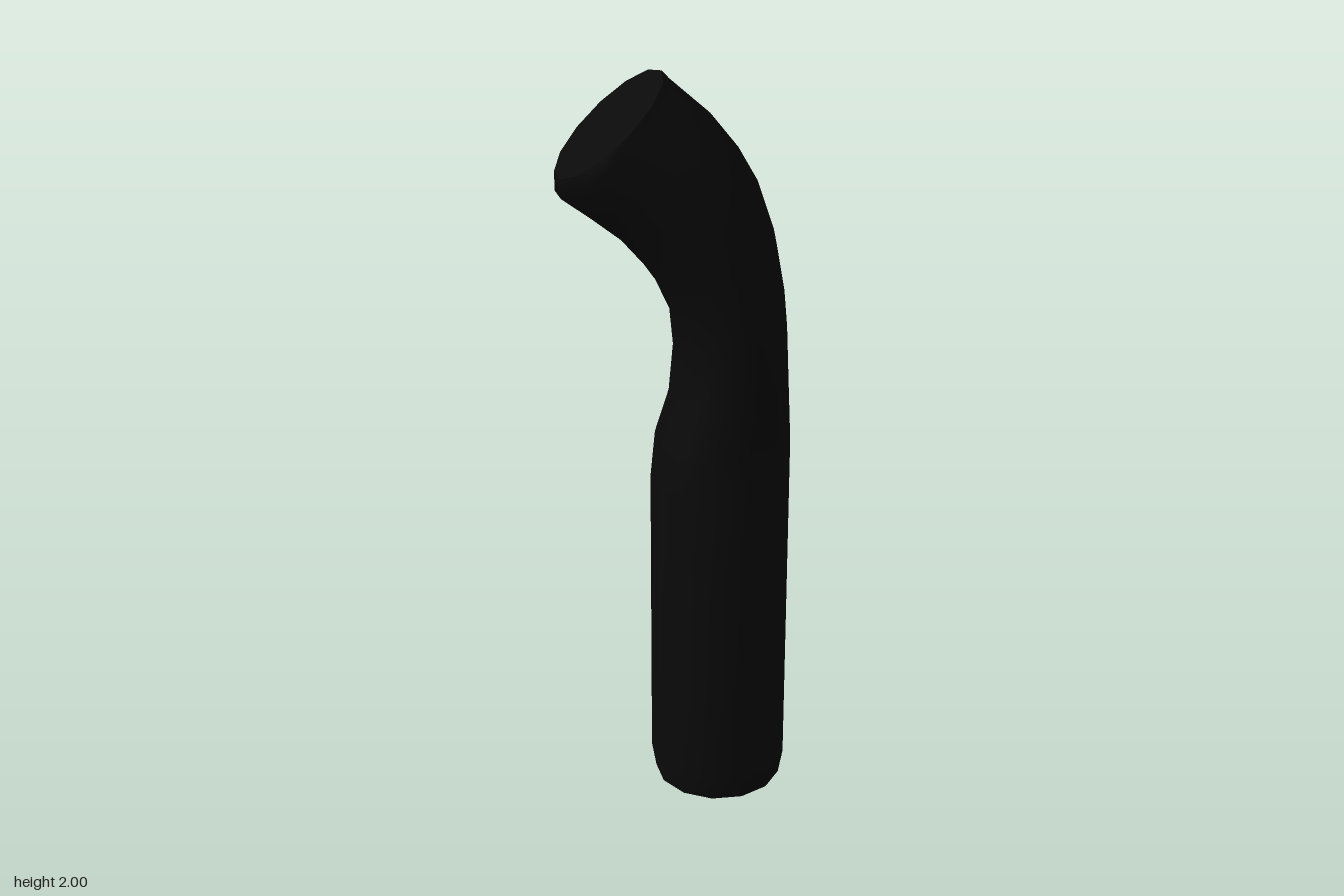
import * as THREE from 'three';

const SIDES = 13;

// Each section: inner edge x, y; outer edge x, y; centre z; half depth in z
const SECTIONS = [
  [-0.055, 0, 0.285, 0, -0.02, 0.17],
  [-0.067, 0.07, 0.297, 0.07, -0.02, 0.183],
  [-0.067, 0.9, 0.297, 1.0, -0.02, 0.183],
  [-0.055, 1.03, 0.295, 1.05, -0.018, 0.183],
  [-0.02, 1.15, 0.285, 1.2, -0.01, 0.183],
  [-0.01, 1.28, 0.276, 1.35, -0.002, 0.183],
  [-0.02, 1.38, 0.266, 1.45, 0.004, 0.183],
  [-0.06, 1.47, 0.243, 1.58, 0.01, 0.183],
  [-0.105, 1.535, 0.2, 1.71, 0.015, 0.183],
  [-0.16, 1.6, 0.15, 1.8, 0.018, 0.183],
  [-0.235, 1.66, 0.08, 1.89, 0.02, 0.183],
  [-0.302, 1.71, -0.02, 1.98, 0.02, 0.183],
  [-0.302, 1.76, -0.038, 2.0, 0.02, 0.178],
];

// Elliptical ring spanning the inner and outer edge of a section
function ring([x0, y0, x1, y1, z, depth]) {
  const scale = Math.cos(Math.PI / SIDES / 4.4); // widest corners meet the edges
  const points = [];
  for (let k = 0; k < SIDES; k++) {
    const a = -Math.PI / 2 + (k / SIDES) * Math.PI * 2;
    const c = Math.cos(a) / scale / 2;
    points.push((x0 + x1) / 2 + (x1 - x0) * c, (y0 + y1) / 2 + (y1 - y0) * c, z + depth * Math.sin(a));
  }
  return points;
}

function makeMesh(name, positions, indices, material) {
  const geometry = new THREE.BufferGeometry();
  geometry.setAttribute('position', new THREE.Float32BufferAttribute(positions, 3));
  geometry.setIndex(indices);
  geometry.computeVertexNormals();
  const mesh = new THREE.Mesh(geometry, material);
  mesh.name = name;
  return mesh;
}

// Flat end disc, fanned from its first corner
function makeCap(name, section, facesUp, material) {
  const indices = [];
  for (let k = 1; k < SIDES - 1; k++) indices.push(0, ...(facesUp ? [k + 1, k] : [k, k + 1]));
  return makeMesh(name, ring(section), indices, material);
}

export function createModel() {
  const model = new THREE.Group();
  model.name = 'bentPipe';
  const material = new THREE.MeshStandardMaterial({ color: 0x0a0a0a });

  // Smooth wall lofted through the sections
  const positions = SECTIONS.flatMap(ring);
  const indices = [];
  for (let i = 0; i < SECTIONS.length - 1; i++) {
    for (let k = 0; k < SIDES; k++) {
      const a = i * SIDES + k;
      const b = i * SIDES + ((k + 1) % SIDES);
      indices.push(a, a + SIDES, b, b, a + SIDES, b + SIDES);
    }
  }
  model.add(makeMesh('pipeWall', positions, indices, material));

  // End faces
  model.add(makeCap('bottomCap', SECTIONS[0], false, material));
  model.add(makeCap('topCap', SECTIONS[SECTIONS.length - 1], true, material));
  return model;
}
